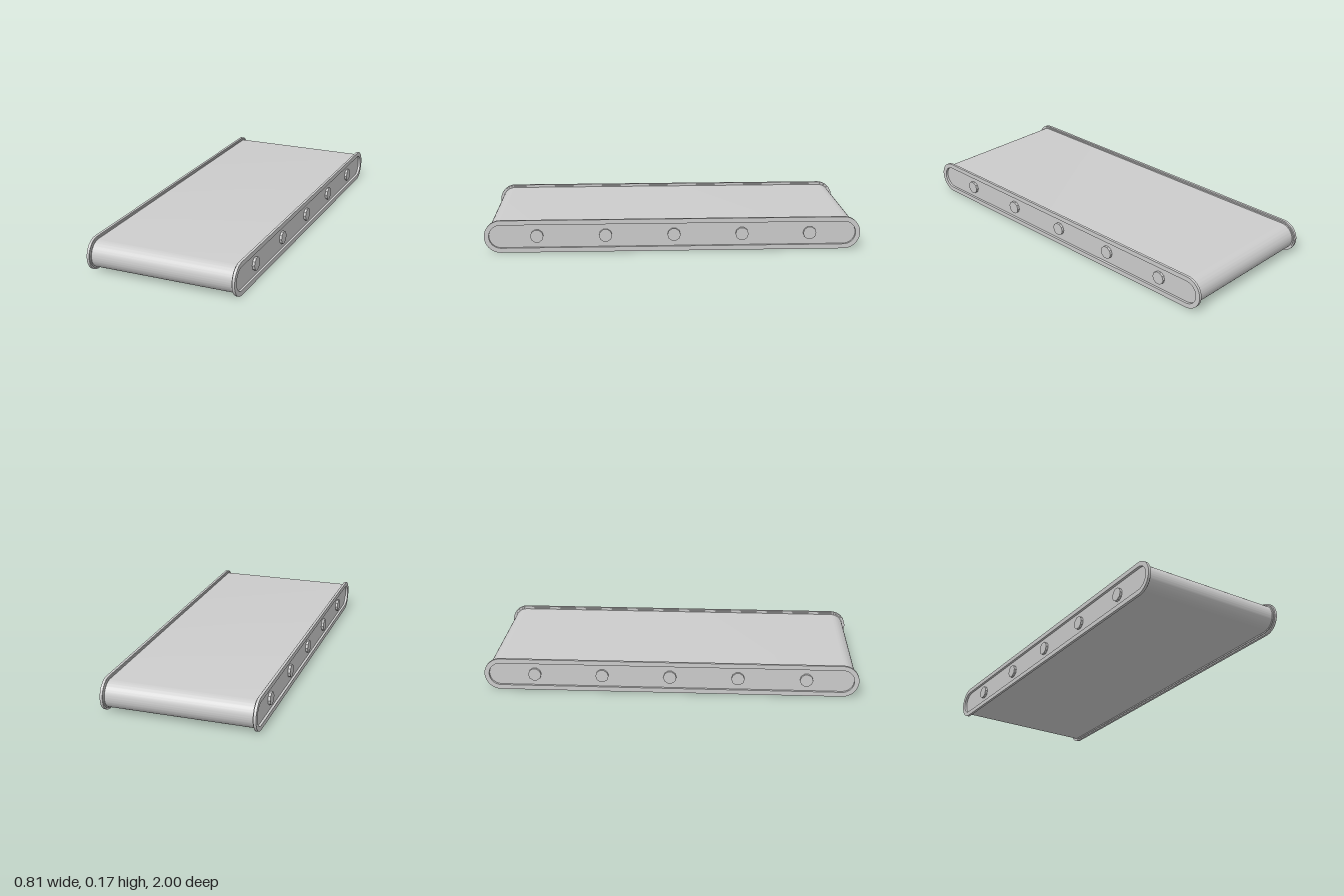
import * as THREE from 'three';
import { toCreasedNormals } from 'three/addons/utils/BufferGeometryUtils.js';

const MID_Y = 0.0875;   // height of the belt axis
const HALF = 0.9125;    // distance from centre to each end roller axis

// Long rounded outline: straight runs joined by half circles
function capsule(radius, Type = THREE.Shape) {
  const s = new Type();
  s.moveTo(-HALF, -radius);
  s.lineTo(HALF, -radius);
  s.absarc(HALF, 0, radius, -Math.PI / 2, Math.PI / 2, false);
  s.lineTo(-HALF, radius);
  s.absarc(-HALF, 0, radius, Math.PI / 2, Math.PI * 1.5, false);
  return s;
}

// Extrude an outline across x, from x0 to x1
function slab(shape, x0, x1) {
  const g = new THREE.ExtrudeGeometry(shape, { depth: x1 - x0, bevelEnabled: false, curveSegments: 20 });
  g.rotateY(Math.PI / 2);
  g.translate(x0, MID_Y, 0);
  return toCreasedNormals(g, Math.PI / 5);
}

export function createModel() {
  const group = new THREE.Group();
  const grey = new THREE.MeshStandardMaterial({ color: 0xcccccc });
  grey.name = 'light grey';

  const add = (name, geometry) => {
    const mesh = new THREE.Mesh(geometry, grey);
    mesh.name = name;
    group.add(mesh);
    return mesh;
  };

  // Smooth belt wrapped around the end rollers
  add('belt', slab(capsule(0.073), -0.389, 0.389));

  for (const side of [1, -1]) {
    const label = side > 0 ? 'left' : 'right';

    // Raised rim around the side panel; the belt end forms its recessed face
    const rim = capsule(0.0875);
    rim.holes.push(capsule(0.0625, THREE.Path));
    add(label + 'Rim', side > 0 ? slab(rim, 0.39, 0.404) : slab(rim, -0.404, -0.39));

    // Recessed panel
    const panel = capsule(0.08);
    add(label + 'Panel', side > 0 ? slab(panel, 0.385, 0.391) : slab(panel, -0.391, -0.385));

    // Row of roller bolts
    for (let i = -2; i <= 2; i++) {
      const bolt = new THREE.CylinderGeometry(0.035, 0.035, 0.016, 10).toNonIndexed();
      bolt.computeVertexNormals();
      bolt.rotateZ(Math.PI / 2);
      const mesh = add(label + 'Bolt', bolt);
      mesh.position.set(side * 0.396, MID_Y, i * 0.363 - 0.003);
    }
  }
  return group;
}
